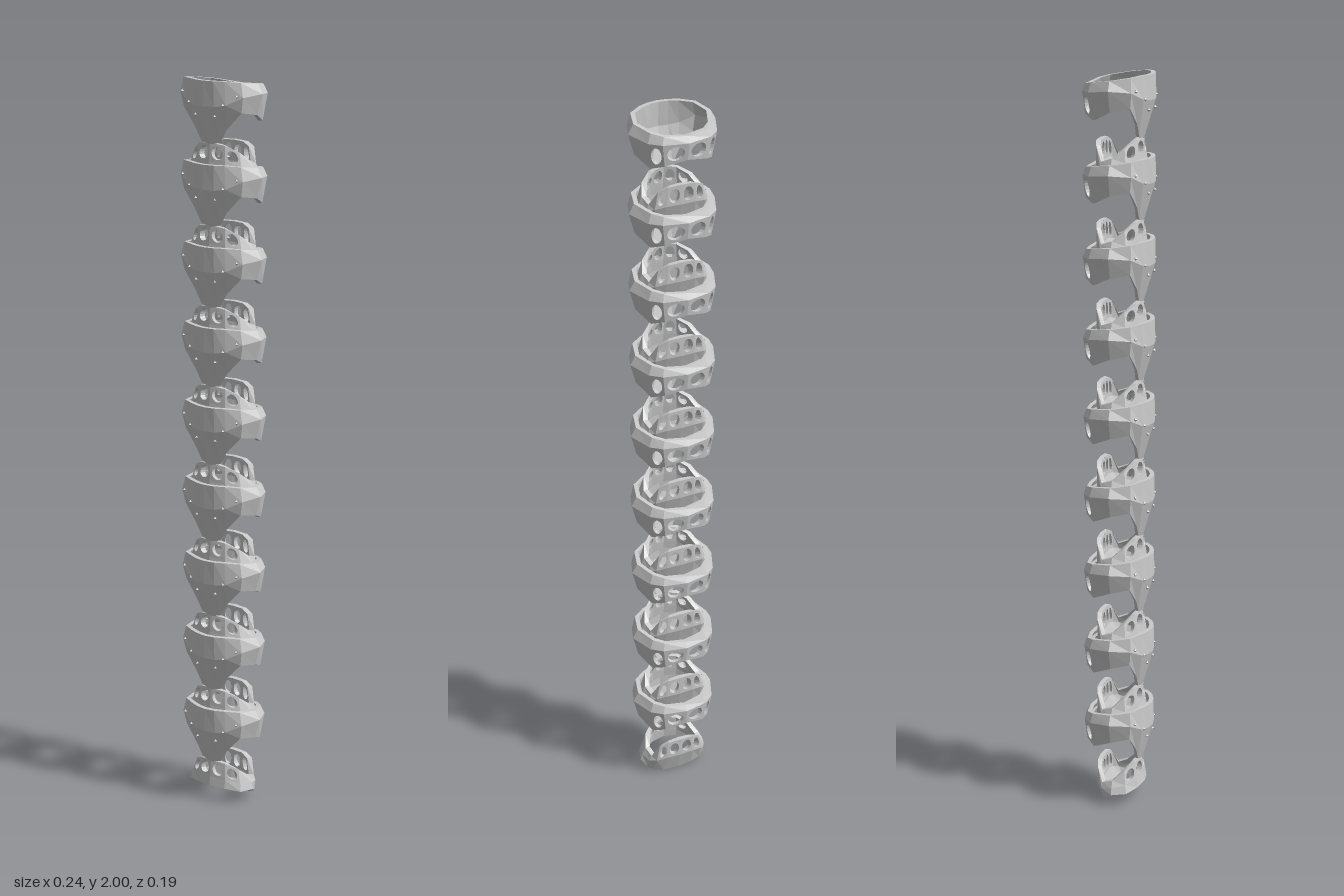
import * as THREE from 'three';

const PITCH = 0.215;
const material = new THREE.MeshStandardMaterial({ color: 0xcccccc, flatShading: true });

// Half outlines run from the front centre round the left side to the back centre.
// Each row goes from top to bottom; points are [x, z, y].
const CUP = [
  [[0, .09, .28], [.028, .086, .28], [.055, .075, .28], [.09, .052, .277], [.106, 0, .27], [.085, -.055, .262], [.06, -.077, .257], [0, -.087, .252]],
  [[0, .092, .215], [.03, .087, .215], [.06, .077, .22], [.098, .055, .24], [.12, 0, .245], [.095, -.06, .238], [.066, -.084, .237], [0, -.097, .236]],
  [[0, .062, .113], [.03, .058, .12], [.05, .058, .155], [.09, .05, .2], [.105, 0, .19], [.085, -.052, .167], [.058, -.078, .178], [0, -.09, .19]],
];
const CROWN = [
  [[0, .062, .118], [.04, .052, .112], [.07, .03, .095], [.085, 0, .07], [.08, -.03, .06], [.062, -.048, .098], [.038, -.055, .108], [0, -.057, .11]],
  [[0, .066, .07], [.045, .058, .066], [.08, .035, .058], [.095, 0, .05], [.086, -.03, .045], [.07, -.046, .05], [.04, -.053, .055], [0, -.055, .055]],
  [[0, .07, .045], [.045, .062, .042], [.085, .04, .035], [.1, 0, .033], [.088, -.02, .018], [.072, -.028, .008], [.045, -.034, .002], [0, -.036, 0]],
];

// Mirrors a half outline into a closed loop of points
function closeRow(half) {
  const pts = half.map(([x, z, y]) => new THREE.Vector3(x, y, z));
  const mirrored = pts.slice(1, -1).reverse().map(p => new THREE.Vector3(-p.x, p.y, p.z));
  return [...pts, ...mirrored];
}

// Thin closed band with oval windows; windows[row] lists half-outline cells
function shell(halfRows, thickness, windows) {
  const rows = halfRows.map(closeRow);
  const n = rows[0].length;
  const pos = [];
  const inset = p => {
    const s = 1 - thickness / Math.hypot(p.x, p.z);
    return new THREE.Vector3(p.x * s, p.y, p.z * s);
  };
  const quad = (a, b, c, d) => {
    for (const p of [a, b, c, a, c, d]) pos.push(p.x, p.y, p.z);
  };
  const skin = (a, b, c, d) => {
    quad(a, b, c, d);
    quad(inset(d), inset(c), inset(b), inset(a));
  };
  // Wall cell with an oval opening
  const pierced = (a, b, c, d) => {
    const at = (u, v) => a.clone().lerp(d, u).lerp(b.clone().lerp(c, u), v);
    const steps = 16, edge = [], oval = [];
    for (let i = 0; i <= steps; i++) {
      const t = i / steps * Math.PI * 2, cos = Math.cos(t), sin = Math.sin(t);
      const m = 0.5 / Math.max(Math.abs(cos), Math.abs(sin));
      edge.push(at(0.5 + cos * m, 0.5 + sin * m));
      oval.push(at(0.5 + cos * 0.36, 0.5 + sin * 0.36));
    }
    for (let i = 0; i < steps; i++) {
      skin(edge[i], oval[i], oval[i + 1], edge[i + 1]);
      quad(oval[i], inset(oval[i]), inset(oval[i + 1]), oval[i + 1]);
    }
  };
  for (let c = 0; c < n; c++) {
    const e = (c + 1) % n;
    for (let r = 0; r < rows.length - 1; r++) {
      const cell = Math.min(c, n - 1 - c);
      const wall = (windows[r] || []).includes(cell) ? pierced : skin;
      wall(rows[r][c], rows[r + 1][c], rows[r + 1][e], rows[r][e]);
    }
    // Upper and lower rims
    const top = rows[0], low = rows[rows.length - 1];
    quad(top[c], top[e], inset(top[e]), inset(top[c]));
    quad(low[c], inset(low[c]), inset(low[e]), low[e]);
  }
  const geometry = new THREE.BufferGeometry();
  geometry.setAttribute('position', new THREE.Float32BufferAttribute(pos, 3));
  geometry.computeVertexNormals();
  return geometry;
}

export function createModel() {
  const model = new THREE.Group();
  model.name = 'segmentedColumn';
  const cupGeometry = shell(CUP, 0.012, { 1: [5, 6] });
  const crownGeometry = shell(CROWN, 0.014, { 0: [0, 1, 5, 6] });
  const studGeometry = new THREE.OctahedronGeometry(0.005);
  // Small studs on the front shield
  const studs = [[.085, .243, .064], [.053, .22, .08], [.03, .19, .083]];

  const add = (parent, geometry, name) => {
    const mesh = new THREE.Mesh(geometry, material);
    mesh.name = name;
    parent.add(mesh);
    return mesh;
  };

  for (let i = 0; i < 9; i++) {
    const segment = new THREE.Group();
    segment.name = 'segment' + (i + 1);
    segment.position.y = i * PITCH;
    add(segment, crownGeometry, 'innerCrown');
    add(segment, cupGeometry, 'outerCup');
    for (const side of [1, -1]) {
      for (const [x, y, z] of studs) add(segment, studGeometry, 'stud').position.set(side * x, y, z);
    }
    model.add(segment);
  }
  return model;
}
